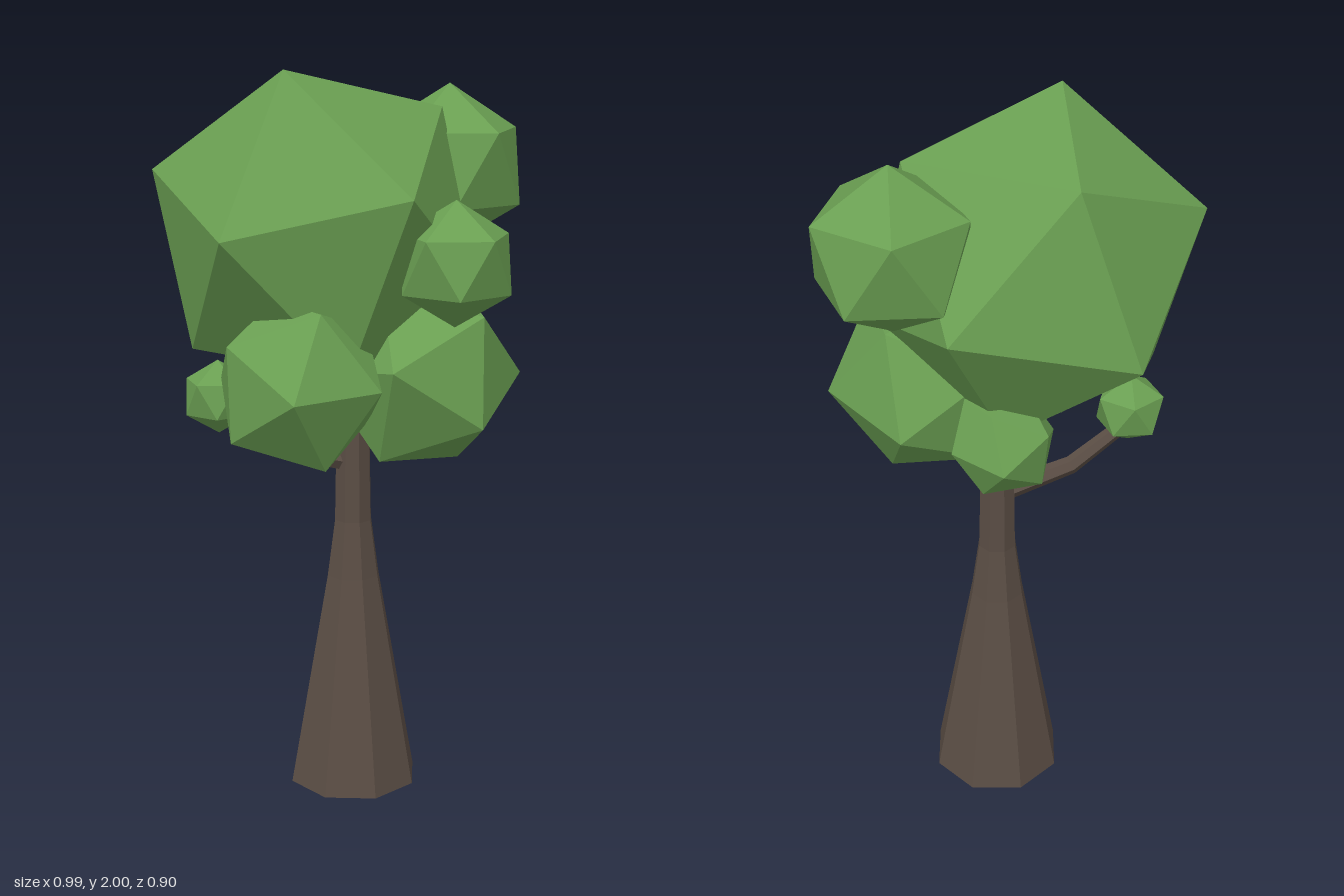
import * as THREE from 'three';

const leafMaterial = new THREE.MeshStandardMaterial({ color: 0x6a9f52, flatShading: true });
const barkMaterial = new THREE.MeshStandardMaterial({ color: 0x5a4d44, flatShading: true });

// Right-handed frame whose x axis is a and whose xy plane holds b
function frame(a, b) {
  const x = a.clone().normalize();
  const z = x.clone().cross(b).normalize();
  return new THREE.Matrix4().makeBasis(x, z.clone().cross(x), z);
}

// Leaf clump: an icosahedron turned so one corner points along "corner"
// and a neighbouring corner lies towards "next"
function leafClump(name, centre, radius, corner = [0, 1, 0], next = [1, 0, 0]) {
  const t = (1 + Math.sqrt(5)) / 2;
  const own = frame(new THREE.Vector3(-1, t, 0), new THREE.Vector3(1, t, 0));
  const target = frame(new THREE.Vector3(...corner), new THREE.Vector3(...next));
  const geometry = new THREE.IcosahedronGeometry(radius, 0);
  geometry.applyMatrix4(target.multiply(own.transpose()));
  const mesh = new THREE.Mesh(geometry, leafMaterial);
  mesh.name = name;
  mesh.position.set(...centre);
  return mesh;
}

export function createModel() {
  const tree = new THREE.Group();
  tree.name = 'tree';

  // Trunk: eight-sided, flared at the foot
  const profile = [[0, 0], [0.185, 0], [0.075, 0.61], [0.053, 0.77], [0.043, 1.3], [0, 1.3]];
  const trunk = new THREE.Mesh(
    new THREE.LatheGeometry(profile.map(([r, y]) => new THREE.Vector2(r, y)), 8),
    barkMaterial
  );
  trunk.name = 'trunk';
  trunk.position.set(0.015, 0, -0.065);
  tree.add(trunk);

  // Side branch: bent tube, tapered towards its tip
  const path = new THREE.CatmullRomCurve3([
    new THREE.Vector3(0.01, 0.935, -0.065),
    new THREE.Vector3(-0.21, 0.99, -0.085),
    new THREE.Vector3(-0.36, 1.11, -0.11),
  ]);
  const sides = 6, steps = 2;
  const branchGeometry = new THREE.TubeGeometry(path, steps, 0.03, sides);
  const position = branchGeometry.attributes.position;
  const point = new THREE.Vector3();
  for (let i = 0; i < position.count; i++) {
    const u = Math.floor(i / (sides + 1)) / steps;
    const middle = path.getPointAt(u);
    point.fromBufferAttribute(position, i).sub(middle).multiplyScalar(1 - 0.35 * u).add(middle);
    position.setXYZ(i, point.x, point.y, point.z);
  }
  const branch = new THREE.Mesh(branchGeometry, barkMaterial);
  branch.name = 'branch';
  tree.add(branch);

  // Foliage
  tree.add(
    leafClump('crown', [-0.1, 1.588, -0.025], 0.454, [-0.13, 0.412, 0.135], [0.33, 0.312, 0.055]),
    leafClump('upperLeftClump', [0.3, 1.73, -0.09], 0.22),
    leafClump('frontSmallClump', [0.15, 1.53, 0.315], 0.16),
    leafClump('lowerRightClump', [-0.23, 1.23, 0.218], 0.233, [-0.085, 0, 0.217], [0.153, 0.005, 0.16]),
    leafClump('lowerLeftClump', [0.132, 1.219, 0.131], 0.272, [0.268, -0.011, 0.047], [0.12, -0.249, -0.011]),
    leafClump('backClump', [0.05, 1.185, -0.19], 0.147, [0.14, 0.005, -0.012], [0.05, 0.124, -0.062]),
    leafClump('branchTipClump', [-0.355, 1.14, -0.1], 0.1)
  );

  return tree;
}
